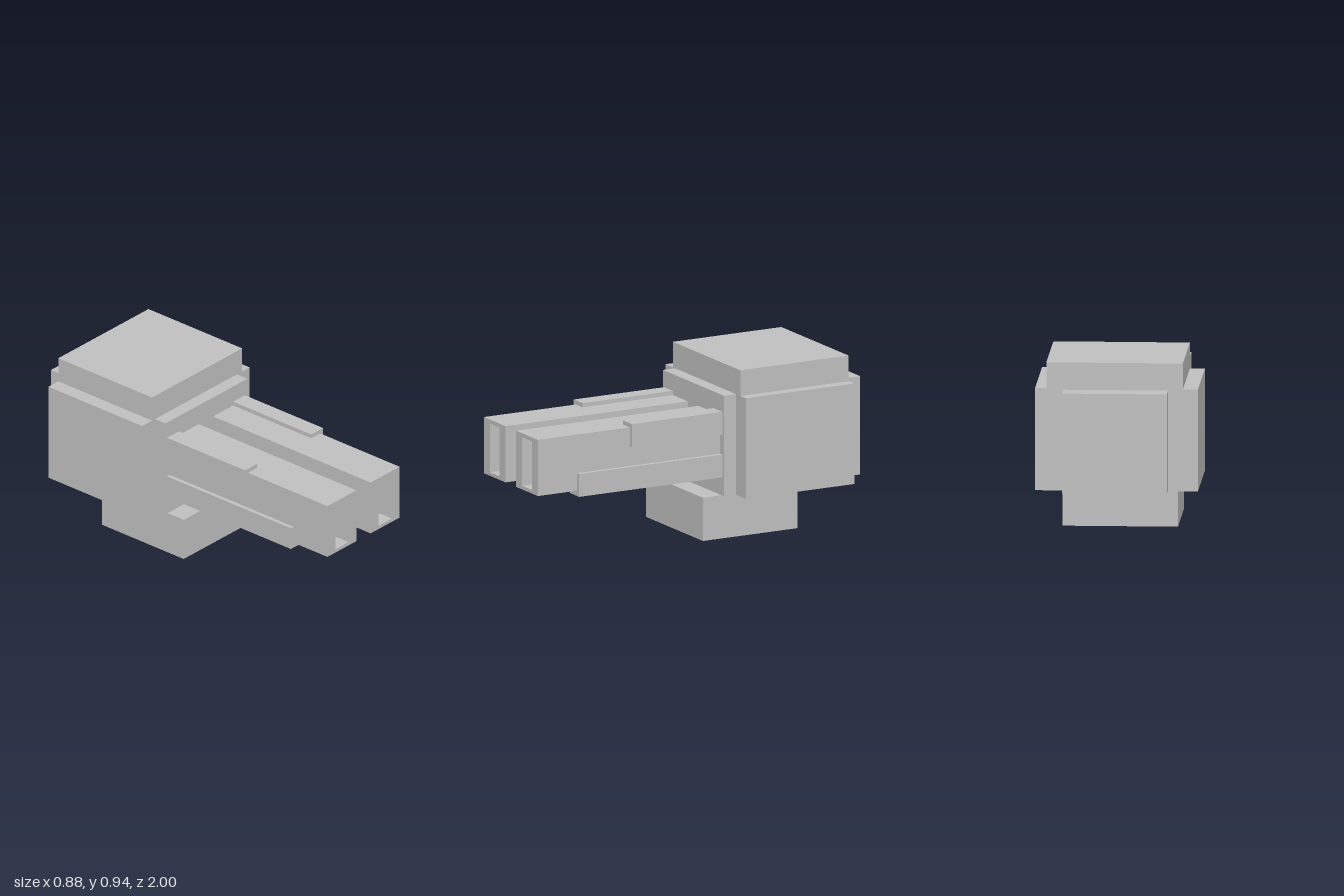
import * as THREE from 'three';

export function createModel() {
  const model = new THREE.Group();
  model.name = 'twinBarrelTurret';
  const grey = new THREE.MeshStandardMaterial({ color: 0xc0c0c0 });
  grey.name = 'light grey';

  // Box given by its limits along each axis
  function block(name, [x0, x1], [y0, y1], [z0, z1], parent = model) {
    const mesh = new THREE.Mesh(new THREE.BoxGeometry(x1 - x0, y1 - y0, z1 - z0), grey);
    mesh.position.set((x0 + x1) / 2, (y0 + y1) / 2, (z0 + z1) / 2);
    mesh.name = name;
    parent.add(mesh);
  }

  function rectangle(PathType, [x0, x1], [y0, y1]) {
    return new PathType([[x0, y0], [x1, y0], [x1, y1], [x0, y1]].map((p) => new THREE.Vector2(...p)));
  }

  // Housing and roof, each in a front and a rear half
  for (const [half, z] of [['front', [-0.54, -0.205]], ['rear', [-0.877, -0.54]]]) {
    block(half + 'Housing', [-0.441, 0.438], [0.24, 0.798], z);
    block(half + 'Roof', [-0.36, 0.377], [0.798, 0.94], z);
  }
  block('frontPlate', [-0.336, 0.333], [0.24, 0.798], [-0.205, -0.13]);
  block('rearPlate', [-0.28, 0.285], [0.245, 0.791], [-1, -0.877]);
  block('base', [-0.318, 0.305], [0, 0.24], [-0.6, -0.015]);

  // Barrels with a shallow rectangular muzzle opening and two side rails
  const boreDepth = 0.09;
  const barrels = [
    { name: 'right', x: [-0.3, -0.063], bore: [-0.235, -0.127], rail: [-0.323, -0.227] },
    { name: 'left', x: [0.053, 0.29], bore: [0.117, 0.227], rail: [0.217, 0.314] },
  ];
  for (const { name, x, bore, rail } of barrels) {
    const barrel = new THREE.Group();
    barrel.name = name + 'Barrel';
    model.add(barrel);
    block('barrelBody', x, [0.37, 0.682], [-0.13, 1 - boreDepth], barrel);

    const outline = rectangle(THREE.Shape, x, [0.37, 0.682]);
    outline.holes.push(rectangle(THREE.Path, bore, [0.39, 0.66]));
    const muzzle = new THREE.Mesh(
      new THREE.ExtrudeGeometry(outline, { depth: boreDepth, bevelEnabled: false }), grey);
    muzzle.position.z = 1 - boreDepth;
    muzzle.name = 'muzzle';
    barrel.add(muzzle);

    block('upperRail', rail, [0.578, 0.705], [-0.13, 0.43], barrel);
    block('lowerRail', rail, [0.341, 0.468], [-0.13, 0.758], barrel);
  }
  return model;
}
